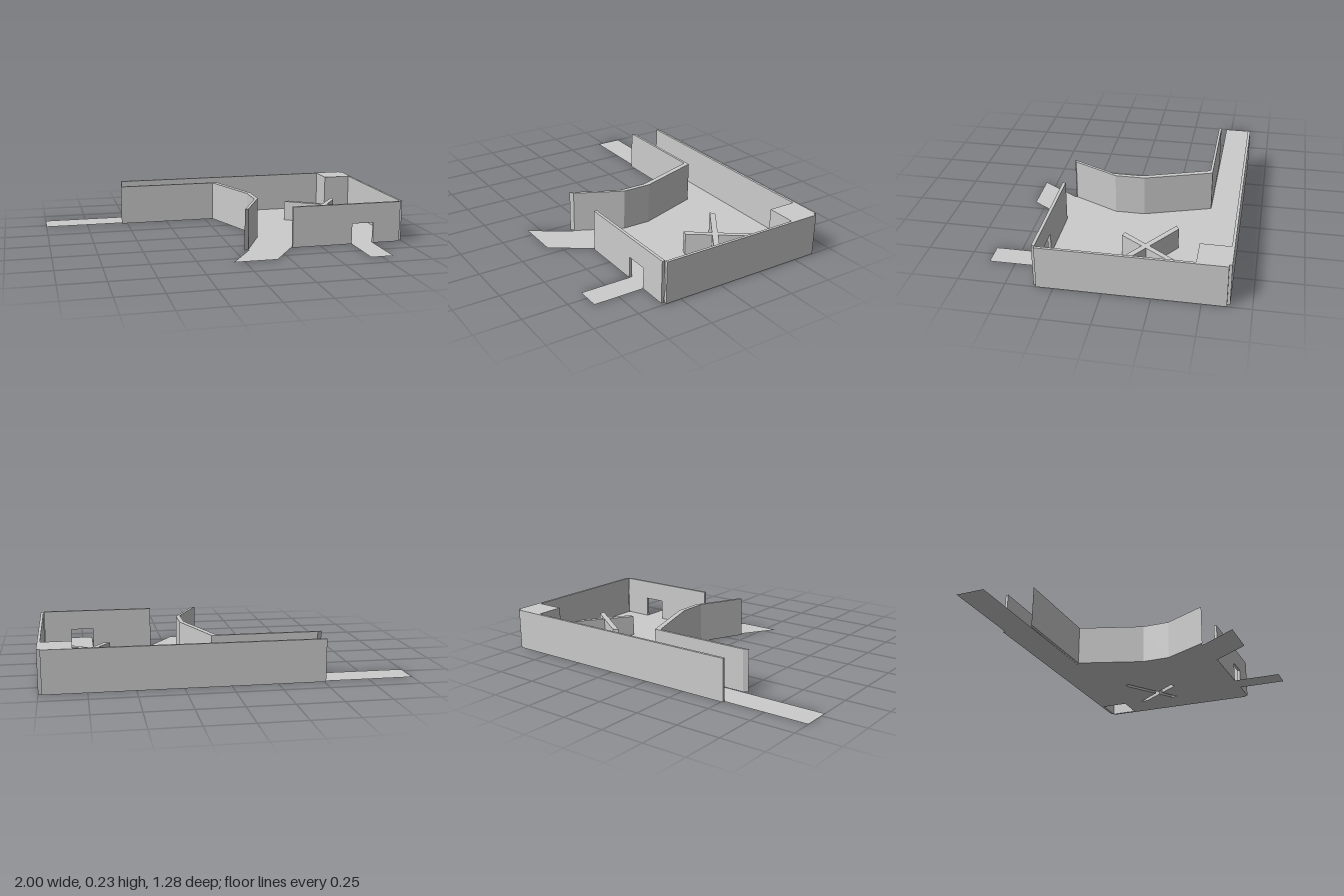
import * as THREE from 'three';

const H = 0.235;      // wall height
const LOW = 0.12;     // height of the doorway and the cross barrier

const material = new THREE.MeshStandardMaterial({ color: 0xcccccc, flatShading: true, side: THREE.DoubleSide });

// Plan outlines are lists of [x, z]; shapes lie in the xy plane until laid flat.
const toPlan = (pts) => pts.map(([x, z]) => new THREE.Vector2(x, -z));

function mesh(name, geometry) {
  const m = new THREE.Mesh(geometry, material);
  m.name = name;
  return m;
}

// Upright prism on the ground; an open one has no underside.
function prism(name, plan, height, open = false) {
  let g = new THREE.ExtrudeGeometry(new THREE.Shape(toPlan(plan)), { depth: height, bevelEnabled: false });
  g.rotateX(-Math.PI / 2);
  if (open) {
    const p = g.attributes.position;
    const kept = [];
    for (let i = 0; i < p.count; i += 3) {
      if (Math.max(p.getY(i), p.getY(i + 1), p.getY(i + 2)) < 1e-5) continue;
      for (let k = i; k < i + 3; k++) kept.push(p.getX(k), p.getY(k), p.getZ(k));
    }
    g = new THREE.BufferGeometry();
    g.setAttribute('position', new THREE.Float32BufferAttribute(kept, 3));
    g.computeVertexNormals();
  }
  return mesh(name, g);
}

const rect = (x0, x1, z0, z1) => [[x0, z0], [x1, z0], [x1, z1], [x0, z1]];

export function createModel() {
  const model = new THREE.Group();
  model.name = 'walledYard';

  // Two crossed bars, cut square at their right ends
  const cross = [
    [0.524, -0.326], [0.712, -0.197], [0.82, -0.345], [0.82, -0.3], [0.736, -0.181], [0.82, -0.123],
    [0.82, -0.086], [0.718, -0.155], [0.636, -0.037], [0.604, -0.048], [0.694, -0.172], [0.492, -0.31],
  ];

  // Flat floor with the back lane, the slanted lane and the doorway path
  const floor = new THREE.Shape(toPlan([
    [-1, -0.625], [0.82, -0.625], [0.82, -0.465], [0.985, -0.465], [0.985, 0.338],
    [0.82, 0.338], [0.82, 0.64], [0.69, 0.64], [0.69, 0.338], [0.335, 0.338],
    [0.183, 0.565], [-0.06, 0.565], [0.08, 0.35], [0.08, 0.338],
    [0.205, 0.08], [0.205, -0.087], [0.08, -0.46], [-1, -0.465],
  ]));
  floor.holes.push(new THREE.Path(toPlan(cross)));
  model.add(mesh('floor', new THREE.ShapeGeometry(floor).rotateX(-Math.PI / 2)));
  model.add(prism('crossBarrier', cross, LOW, true));

  // Full-height block in the back corner
  model.add(prism('cornerBlock', rect(0.82, 0.985, -0.625, -0.465), H, true));

  // Straight outer walls
  model.add(prism('backWall', rect(-0.51, 0.982, -0.64, -0.625), H));
  model.add(prism('sideWall', rect(0.985, 1, -0.625, 0.338), H));

  // Bent wall around the recess
  model.add(prism('recessWall', [
    [-0.535, -0.445], [0.052, -0.445], [0.18, -0.07], [0.18, 0.095], [0.055, 0.35],
    [0.08, 0.338], [0.205, 0.08], [0.205, -0.087], [0.08, -0.46], [-0.51, -0.46],
  ], H));

  // Front wall with a square doorway
  const front = new THREE.Shape([
    [0.335, 0], [0.69, 0], [0.69, LOW], [0.82, LOW], [0.82, 0], [0.982, 0], [0.982, H], [0.335, H],
  ].map(([x, y]) => new THREE.Vector2(x, y)));
  const frontGeometry = new THREE.ExtrudeGeometry(front, { depth: 0.017, bevelEnabled: false });
  model.add(mesh('frontWall', frontGeometry.translate(0, 0, 0.338)));

  return model;
}
